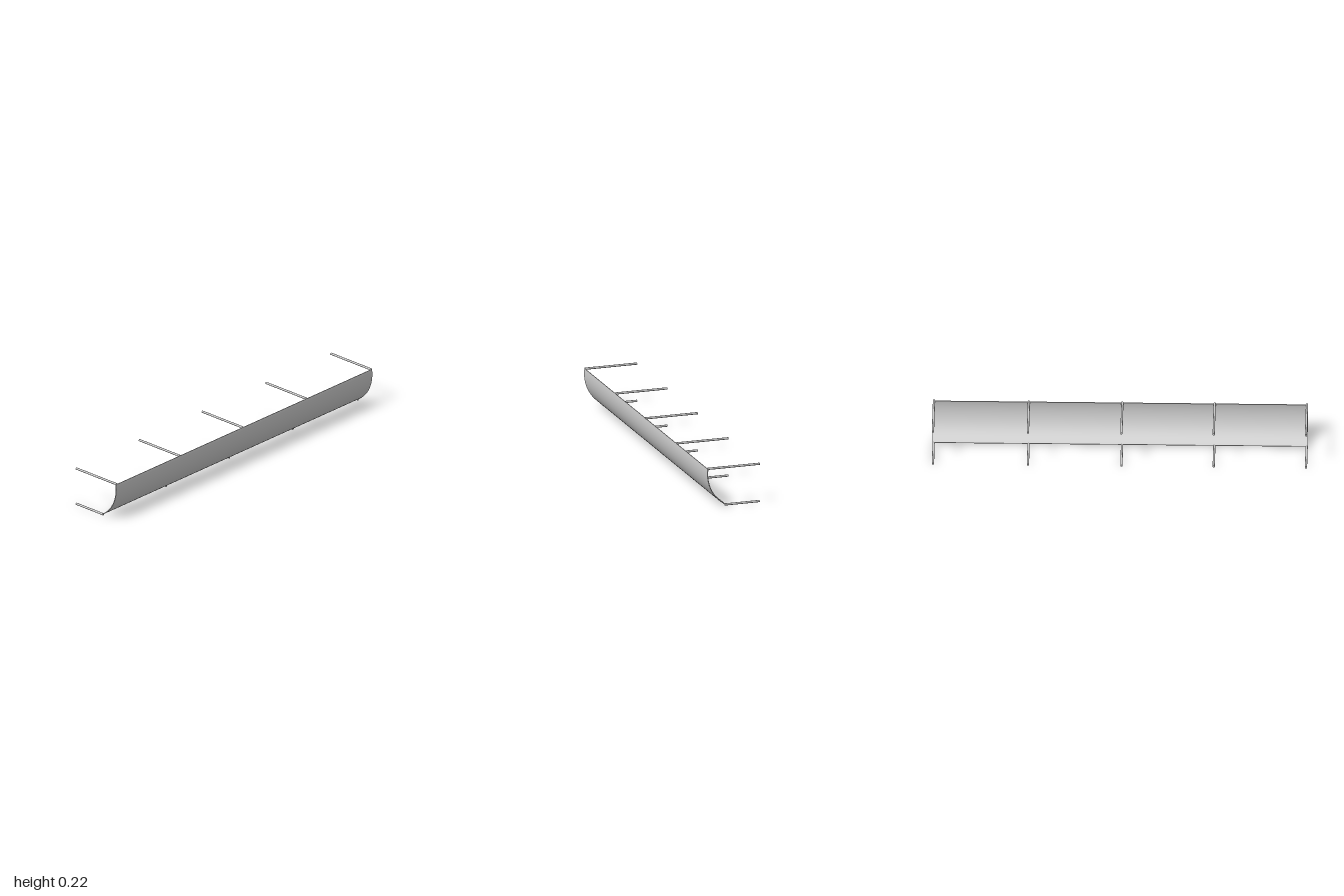
import * as THREE from 'three';

const material = new THREE.MeshStandardMaterial({ color: 0xcccccc });

// Curved panel: a thin arc section in the z-y plane, extruded along x
function makePanel() {
  const centreZ = -0.059, centreY = 0.185, radius = 0.207, thickness = 0.004;
  const top = 0.138, bottom = -1.028;
  const section = new THREE.Shape();
  section.absarc(-centreZ, centreY, radius, Math.PI - top, Math.PI - bottom, false);
  section.absarc(-centreZ, centreY, radius - thickness, Math.PI - bottom, Math.PI - top, true);
  section.closePath();
  const geometry = new THREE.ExtrudeGeometry(section, { depth: 2, bevelEnabled: false, curveSegments: 48 });
  geometry.translate(0, 0, -1);
  geometry.rotateY(Math.PI / 2); // section -x becomes +z

  // Smooth the curved faces with radial normals, keep the flat rims sharp
  const pos = geometry.attributes.position, nor = geometry.attributes.normal;
  for (let i = 0; i < pos.count; i++) {
    if (Math.abs(nor.getX(i)) > 0.5) continue;
    const dz = pos.getZ(i) - centreZ, dy = pos.getY(i) - centreY;
    const r = Math.hypot(dz, dy);
    const facing = (nor.getZ(i) * dz + nor.getY(i) * dy) / r;
    if (Math.abs(facing) > 0.7) {
      const s = Math.sign(facing) / r;
      nor.setXYZ(i, 0, dy * s, dz * s);
    }
  }
  const panel = new THREE.Mesh(geometry, material);
  panel.name = 'curvedPanel';
  return panel;
}

// Round rod running back along z from the panel edge
function makeRod(name, x, y, front, back) {
  const geometry = new THREE.CylinderGeometry(0.006, 0.006, front - back, 20);
  geometry.rotateX(Math.PI / 2);
  const rod = new THREE.Mesh(geometry, material);
  rod.position.set(x, y, (front + back) / 2);
  rod.name = name;
  return rod;
}

export function createModel() {
  const model = new THREE.Group();
  model.name = 'wallMountedPanel';
  model.add(makePanel());

  // Five pairs of mounting rods
  for (const x of [-0.994, -0.502, -0.01, 0.488, 0.994]) {
    model.add(makeRod('upperRod', x, 0.214, 0.147, -0.148));
    model.add(makeRod('lowerRod', x, 0.007, 0.049, -0.148));
  }
  return model;
}
